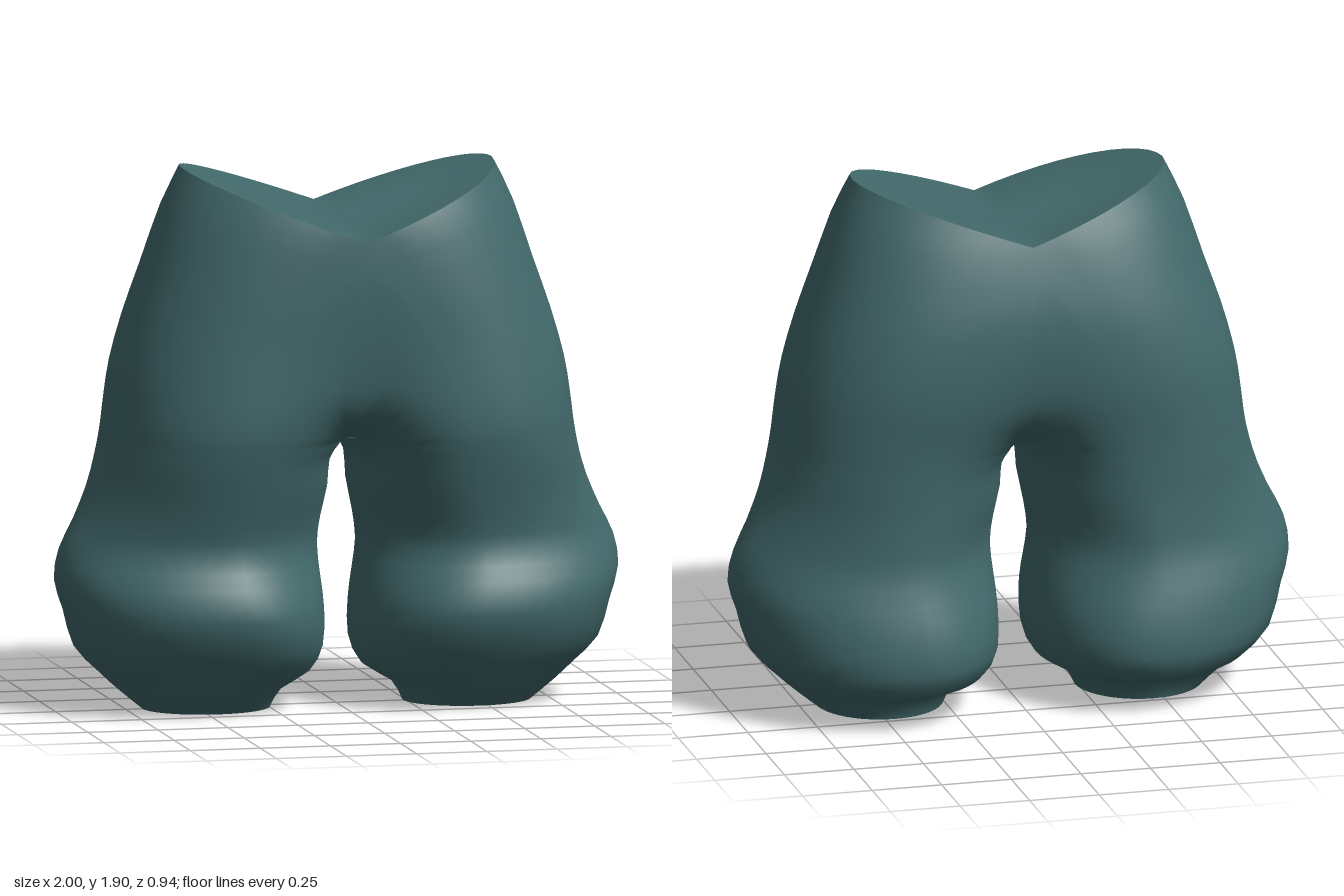
import * as THREE from 'three';
import { mergeVertices } from 'three/addons/utils/BufferGeometryUtils.js';

// Cross-sections of one side from waist to hem:
// [inner height, outer height, centre x, inner x, outer x, front z, back z, squareness]
// A negative inner x means the two sides are joined at x = 0.
const SECTIONS = [
  [1.70, 1.90, 0.00, -0.30, 0.555, 0.465, -0.35, 2.0],
  [1.60, 1.76, 0.10, -0.57, 0.62, 0.47, -0.39, 2.1],
  [1.45, 1.55, 0.19, -0.42, 0.69, 0.47, -0.43, 2.2],
  [1.28, 1.38, 0.28, -0.28, 0.75, 0.465, -0.44, 2.2],
  [1.15, 1.22, 0.34, -0.16, 0.795, 0.465, -0.435, 2.2],
  [1.05, 1.10, 0.37, -0.083, 0.815, 0.465, -0.42, 2.2],
  [0.98, 1.02, 0.39, -0.03, 0.825, 0.46, -0.41, 2.2],
  [0.94, 0.96, 0.40, 0.00, 0.835, 0.452, -0.405, 2.15],
  [0.88, 0.88, 0.41, 0.038, 0.853, 0.436, -0.40, 2.1],
  [0.78, 0.78, 0.42, 0.042, 0.885, 0.41, -0.395, 1.95],
  [0.67, 0.67, 0.44, 0.062, 0.935, 0.38, -0.395, 1.8],
  [0.57, 0.57, 0.45, 0.073, 0.985, 0.365, -0.40, 1.75],
  [0.46, 0.46, 0.45, 0.065, 1.00, 0.415, -0.43, 1.9],
  [0.35, 0.35, 0.43, 0.057, 0.965, 0.44, -0.46, 2.05],
  [0.22, 0.22, 0.42, 0.06, 0.925, 0.385, -0.47, 2.1],
  [0.13, 0.13, 0.44, 0.10, 0.84, 0.31, -0.42, 2.0],
  [0.07, 0.07, 0.46, 0.20, 0.775, 0.26, -0.27, 2.0],
  [0.00, 0.00, 0.465, 0.24, 0.69, 0.19, -0.23, 2.0],
];
const HEM = SECTIONS.length - 1;
const N = 48;        // points round a section
const STEPS = 2;     // rings per section

// Smooth blend of the section table at position t
function sectionAt(t) {
  const k = Math.min(Math.floor(t), HEM - 1), f = t - k;
  const row = (i) => SECTIONS[Math.max(0, Math.min(HEM, i))];
  return row(k).map((b, c) => {
    const a = row(k - 1)[c], d = row(k + 1)[c], e = row(k + 2)[c];
    return b + 0.5 * f * (d - a + f * (2 * a - 5 * b + 4 * d - e + f * (3 * (b - d) + e - a)));
  });
}

// Points of a section, from the inner front round the outside to the inner back
function ring(t, side) {
  const [yIn, yOut, cx, xi, xo, zf, zb, power] = sectionAt(t);
  const joined = xi < -1e-6;
  const wide = cx - xi;
  const fillet = joined ? Math.max(0, Math.min(0.13, -xi, cx)) : 0;   // softens the middle seam
  const reach = joined ? Math.acos(-Math.pow((cx - fillet) / wide, power / 2)) : Math.PI;
  const bend = (v) => Math.sign(v) * Math.pow(Math.abs(v), 2 / power);
  const slant = -0.05 * Math.max(0, 1 - t / 2);   // waist sits lower in front
  const points = [];
  for (let i = 0; i <= N; i++) {
    // outer half keeps even spacing, inner half ends at the seam
    const u = 1 - (2 * i) / N, v = Math.abs(u);
    const turn = v <= 0.5 ? v * Math.PI : Math.PI / 2 + (2 * v - 1) * (reach - Math.PI / 2);
    const angle = Math.sign(u) * turn;
    const c = bend(Math.cos(angle)), s = bend(Math.sin(angle));
    let x = cx + c * (c < 0 ? wide : xo - cx);
    if (joined) {
      x = xo * Math.sqrt(Math.max(0, x * x - fillet * fillet) / (xo * xo - fillet * fillet));
      if (i === 0 || i === N) x = 0;
    }
    const z = s * (s > 0 ? zf : -zb);
    const y = yIn + ((yOut - yIn) * x) / xo + slant * z;
    points.push([side * x, y, z]);
  }
  return points;
}

function makeGeometry(points, index) {
  const g = new THREE.BufferGeometry();
  g.setAttribute('position', new THREE.Float32BufferAttribute(points.flat(), 3));
  g.setIndex(index);
  const merged = mergeVertices(g, 1e-4);
  merged.computeVertexNormals();
  return merged;
}

// Both sides lofted into one smooth surface
function fabricGeometry() {
  const points = [], index = [];
  const rings = HEM * STEPS;
  for (const side of [1, -1]) {
    const base = points.length;
    for (let j = 0; j <= rings; j++) points.push(...ring(j / STEPS, side));
    for (let j = 0; j < rings; j++) {
      for (let i = 0; i < N; i++) {
        const a = base + j * (N + 1) + i, b = a + 1, c = a + N + 1, d = c + 1;
        if (side > 0) index.push(a, c, b, b, c, d);
        else index.push(a, b, c, b, d, c);
      }
    }
  }
  return makeGeometry(points, index);
}

// Fan from a centre point to a rim
function capGeometry(centre, rim) {
  const index = [];
  for (let i = 1; i < rim.length; i++) index.push(0, i, i + 1);
  return makeGeometry([centre, ...rim], index);
}

export function createModel() {
  const group = new THREE.Group();
  group.name = 'trousers';
  const cloth = new THREE.MeshStandardMaterial({ color: 0x42696b });
  cloth.name = 'teal cloth';

  const add = (name, geometry) => {
    const mesh = new THREE.Mesh(geometry, cloth);
    mesh.name = name;
    group.add(mesh);
  };

  add('hipsAndLegs', fabricGeometry());

  // Waist opening folds along the middle
  const waistRim = [...ring(0, 1), ...ring(0, -1).reverse()];
  add('waistCap', capGeometry([0, 1.7, 0], waistRim));

  // Hems are flat on the ground
  add('leftHemCap', capGeometry([0.465, 0, -0.02], ring(HEM, 1).reverse()));
  add('rightHemCap', capGeometry([-0.465, 0, -0.02], ring(HEM, -1)));
  return group;
}
